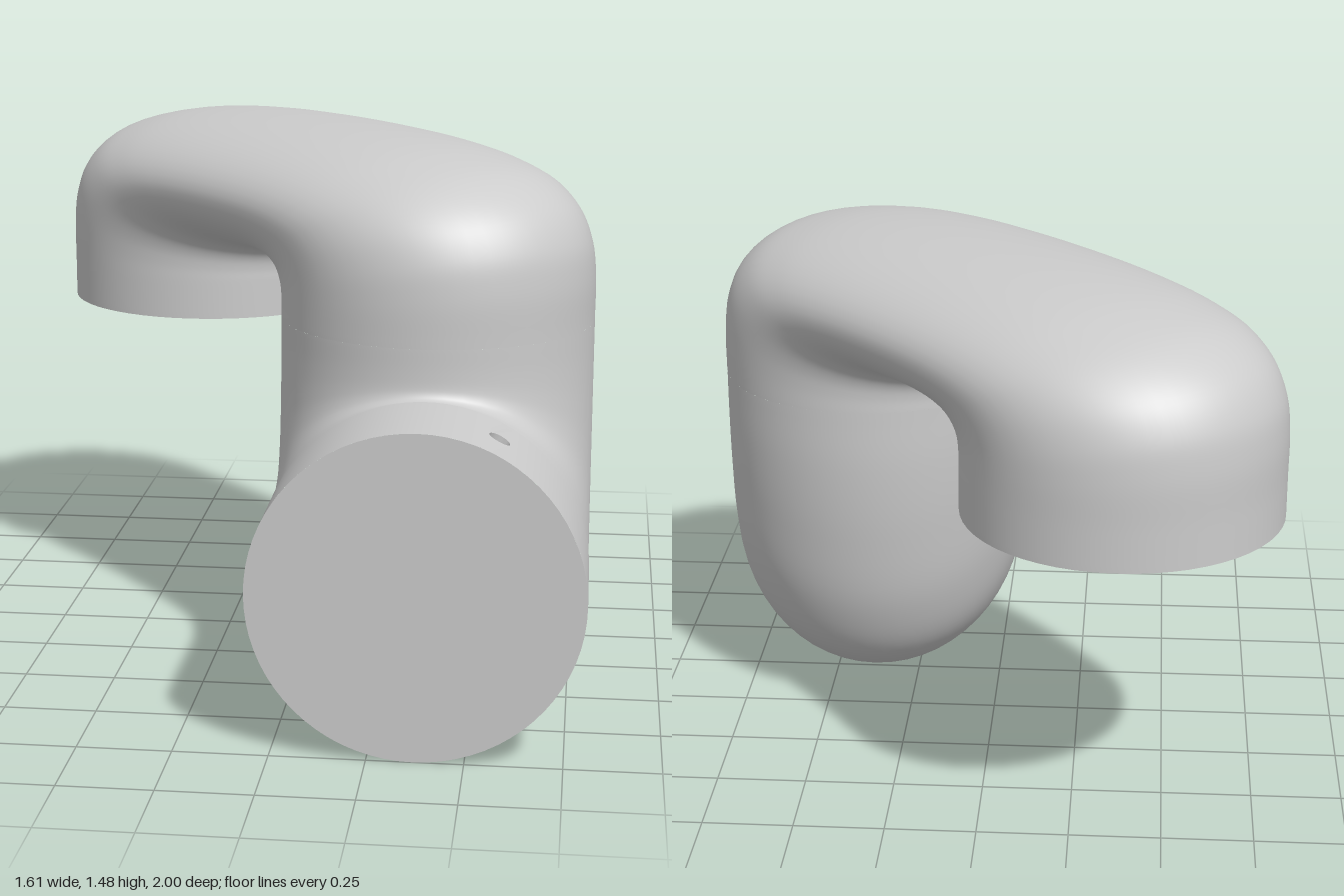
import * as THREE from 'three';
import { toCreasedNormals } from 'three/addons/utils/BufferGeometryUtils.js';

const R = 0.43;                                   // pipe radius
const PIPE_X = 0.37, PIPE_Z = 0.23;               // upright pipe axis
const END_X = -0.375, END_Z = -0.57;              // short down pipe axis
const END_Y = 0.89;
const RADIAL = 56;

const material = new THREE.MeshStandardMaterial({ color: 0xcccccc });

// Sweep of elliptical rings, each spanning an inner and an outer point of the bend
function sweep(inner, outer, side, steps) {
  const inCurve = new THREE.CatmullRomCurve3(inner);
  const outCurve = new THREE.CatmullRomCurve3(outer);
  const pos = [], index = [];
  for (let i = 0; i <= steps; i++) {
    const a = inCurve.getPoint(i / steps), b = outCurve.getPoint(i / steps);
    const mid = a.clone().add(b).multiplyScalar(0.5);
    const half = b.clone().sub(a).multiplyScalar(0.5);
    for (let j = 0; j < RADIAL; j++) {
      const t = (j / RADIAL) * Math.PI * 2;
      const p = mid.clone().addScaledVector(half, Math.cos(t)).addScaledVector(side, R * Math.sin(t));
      pos.push(p.x, p.y, p.z);
      if (i < steps) {
        const k = (j + 1) % RADIAL, r0 = i * RADIAL, r1 = r0 + RADIAL;
        index.push(r0 + j, r0 + k, r1 + j, r0 + k, r1 + k, r1 + j);
      }
    }
  }
  const geo = new THREE.BufferGeometry();
  geo.setAttribute('position', new THREE.Float32BufferAttribute(pos, 3));
  geo.setIndex(index);
  geo.computeVertexNormals();
  return geo;
}

function add(parent, name, geo) {
  const mesh = new THREE.Mesh(geo, material);
  mesh.name = name;
  parent.add(mesh);
  return mesh;
}

// Lower elbow: from the collar, backwards and then up; rows are inner z, y, outer z, y
function lowerElbow() {
  const rows = [
    [0.69, 0.865, 0.69, 0.005], [0.685, 0.866, 0.5, 0.012], [0.68, 0.867, 0.3, 0.03],
    [0.675, 0.87, 0.12, 0.075], [0.67, 0.875, -0.03, 0.18], [0.665, 0.885, -0.125, 0.36],
    [0.662, 0.9, -0.175, 0.6], [0.66, 0.94, -0.197, 0.82], [0.66, 1.0, -0.2, 1.0],
  ];
  const at = (z, y) => new THREE.Vector3(PIPE_X, y, z);
  return sweep(rows.map(r => at(r[0], r[1])), rows.map(r => at(r[2], r[3])), new THREE.Vector3(-1, 0, 0), 48);
}

// Upper arm: up, across the diagonal and down again, mirrored about its middle
function upperArm() {
  const d = new THREE.Vector3(END_X - PIPE_X, 0, END_Z - PIPE_Z);
  const length = d.length();
  d.normalize();
  // inner s, y, outer s, y
  const half = [
    [0.43, 1.0, -0.43, 1.0], [0.43, 1.03, -0.43, 1.14], [0.434, 1.055, -0.413, 1.24],
    [0.442, 1.072, -0.36, 1.33], [0.455, 1.086, -0.25, 1.405], [0.47, 1.095, -0.08, 1.45],
    [0.49, 1.1, 0.15, 1.476],
  ];
  const mirrored = half.map(([a, b, c, e]) => [length - a, b, length - c, e]).reverse();
  const rows = [...half, [length / 2, 1.102, length / 2, 1.487], ...mirrored,
    [length - R, END_Y, length + R, END_Y]];
  const at = (s, y) => new THREE.Vector3(PIPE_X + d.x * s, y, PIPE_Z + d.z * s);
  return sweep(rows.map(r => at(r[0], r[1])), rows.map(r => at(r[2], r[3])),
    new THREE.Vector3(-d.z, 0, d.x), 90);
}

// Collar with two opposite screw holes, built along y and laid along z
function collar() {
  const group = new THREE.Group();
  group.name = 'collar';
  const r = 0.432, h = 0.318, depth = 0.06, patch = 0.1, holeR = 0.03;
  const first = 2.66;
  for (const angle of [first, first + Math.PI]) {
    add(group, 'collarWall', new THREE.CylinderGeometry(r, r, h, 36, 1, true, angle + patch, Math.PI - 2 * patch));

    // wall patch with the hole, bent round the collar
    const w = patch * r, shape = new THREE.Shape();
    shape.moveTo(-w, -h / 2);
    for (let i = 1; i <= 4; i++) shape.lineTo(-w + (w * i) / 2, -h / 2);
    for (let i = 0; i <= 4; i++) shape.lineTo(w - (w * i) / 2, h / 2);
    shape.closePath();
    const hole = new THREE.Path();
    hole.absarc(0, 0, holeR, 0, Math.PI * 2, true);
    shape.holes.push(hole);
    const geo = new THREE.ExtrudeGeometry(shape, { depth, bevelEnabled: false, curveSegments: 20 });
    const p = geo.attributes.position;
    for (let i = 0; i < p.count; i++) {
      const a = angle + p.getX(i) / r, rad = r - depth + p.getZ(i);
      p.setXYZ(i, rad * Math.sin(a), p.getY(i), rad * Math.cos(a));
    }
    add(group, 'screwHole', toCreasedNormals(geo, 0.5));

    const floor = add(group, 'screwHoleFloor', new THREE.CircleGeometry(holeR * 1.2, 20));
    floor.position.set((r - depth) * Math.sin(angle), 0, (r - depth) * Math.cos(angle));
    floor.rotation.y = angle;
  }
  for (const s of [1, -1]) {
    const face = add(group, s > 0 ? 'collarFrontFace' : 'collarBackFace', new THREE.CircleGeometry(r, 72));
    face.rotation.x = -s * Math.PI / 2;
    face.position.y = s * h / 2;
  }
  group.rotation.x = Math.PI / 2;
  group.position.set(PIPE_X, 0.435, 1 - h / 2);
  return group;
}

export function createModel() {
  const model = new THREE.Group();
  model.name = 'pipeBend';
  add(model, 'lowerElbow', lowerElbow());
  add(model, 'upperArm', upperArm());

  // flat end of the short down pipe
  const end = add(model, 'pipeEndFace', new THREE.CircleGeometry(R, RADIAL));
  end.rotation.x = Math.PI / 2;
  end.position.set(END_X, END_Y, END_Z);

  model.add(collar());
  return model;
}
